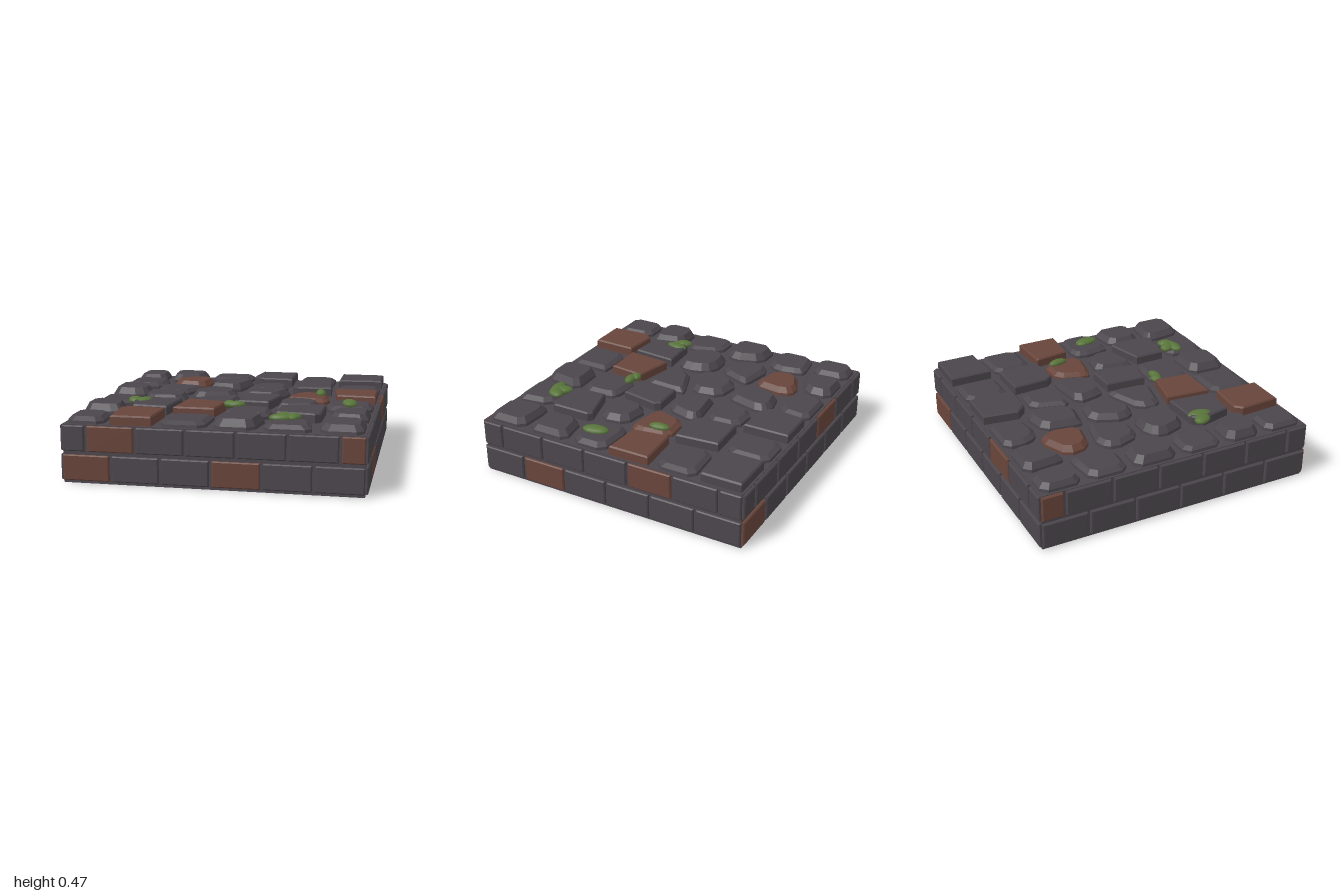
import * as THREE from 'three';

const stone = new THREE.MeshStandardMaterial({ color: 0x4b464c });
stone.name = 'darkStone';
const clay = new THREE.MeshStandardMaterial({ color: 0x68453b });
clay.name = 'brownClay';
const moss = new THREE.MeshStandardMaterial({ color: 0x58743a });
moss.name = 'mossGreen';

const CORE = 0.98, TOP = 0.39, EDGE = 0.965, HALF_GAP = 0.024;

// Paving stone centres (x, z), six per row from back to front
const ROWS = [
  [-0.86, -0.83, -0.59, -0.85, -0.22, -0.86, 0.15, -0.81, 0.46, -0.81, 0.78, -0.81],
  [-0.82, -0.51, -0.47, -0.57, -0.16, -0.52, 0.13, -0.44, 0.47, -0.46, 0.8, -0.49],
  [-0.84, -0.15, -0.53, -0.26, -0.22, -0.13, 0.16, -0.2, 0.49, -0.1, 0.82, -0.15],
  [-0.85, 0.2, -0.53, 0.09, -0.12, 0.13, 0.17, 0.15, 0.44, 0.2, 0.8, 0.15],
  [-0.85, 0.51, -0.51, 0.43, -0.19, 0.46, 0.15, 0.5, 0.52, 0.49, 0.85, 0.49],
  [-0.86, 0.81, -0.54, 0.79, -0.19, 0.8, 0.16, 0.81, 0.47, 0.85, 0.83, 0.8],
];
const SLABS = [3, 5, 10, 17, 21, 25, 26, 28, 31]; // thin bevel, sharp corners
const CLAY_STONES = [7, 16, 17, 26, 31];

// Clay bricks per wall: front, right, back, left
const WALLS = [
  { name: 'frontWall', lower: [0, 3], upper: [1, 6] },
  { name: 'rightEndWall', lower: [1], upper: [4] },
  { name: 'backWall', lower: [0], upper: [4] },
  { name: 'leftEndWall', lower: [], upper: [0] },
];

// Moss lobes: x, z, half width, half length, turn
const MOSS = [
  [-0.675, 0.35, 0.05, 0.07, 0.5], [-0.605, 0.37, 0.05, 0.09, -0.15],
  [0.0, 0.37, 0.045, 0.04, 0], [0.05, 0.385, 0.065, 0.035, 0.1],
  [0.805, 0.19, 0.052, 0.095, 0.2],
  [0.43, 0.71, 0.05, 0.07, 0.6], [0.49, 0.73, 0.05, 0.065, -0.5], [0.42, 0.76, 0.085, 0.045, 0.1],
  [0.565, -0.16, 0.035, 0.075, 0.15],
];

// Faceted solid through counter-clockwise rings, stacked along +z, capped at the end
function loft(rings) {
  const pos = [];
  const n = rings[0].length;
  const tri = (...pts) => pts.forEach((p) => pos.push(...p));
  for (let r = 0; r + 1 < rings.length; r++) {
    for (let i = 0; i < n; i++) {
      const j = (i + 1) % n;
      const a = rings[r], b = rings[r + 1];
      tri(a[i], a[j], b[j]);
      tri(a[i], b[j], b[i]);
    }
  }
  const cap = rings[rings.length - 1];
  for (let i = 1; i + 1 < n; i++) tri(cap[0], cap[i], cap[i + 1]);
  const g = new THREE.BufferGeometry();
  g.setAttribute('position', new THREE.Float32BufferAttribute(pos, 3));
  g.computeVertexNormals();
  return g;
}

function addMesh(parent, name, geometry, material) {
  const m = new THREE.Mesh(geometry, material);
  m.name = name;
  parent.add(m);
  return m;
}

// Keep the part of a convex polygon where p . n <= d
function clip(poly, nx, ny, d) {
  const out = [];
  poly.forEach((p, i) => {
    const q = poly[(i + 1) % poly.length];
    const a = p[0] * nx + p[1] * ny - d, b = q[0] * nx + q[1] * ny - d;
    if (a <= 0) out.push(p);
    if (a * b < 0) {
      const t = a / (a - b);
      out.push([p[0] + (q[0] - p[0]) * t, p[1] + (q[1] - p[1]) * t]);
    }
  });
  return out;
}

const mix = (p, q, t) => [p[0] + (q[0] - p[0]) * t, p[1] + (q[1] - p[1]) * t];

// Cut every corner of a polygon
function chamfer(poly) {
  return poly.flatMap((p, i) => {
    const n = poly.length, prev = poly[(i + n - 1) % n], next = poly[(i + 1) % n];
    const cut = (q) => Math.min(0.3, 0.045 / Math.max(Math.hypot(q[0] - p[0], q[1] - p[1]), 0.001));
    return [mix(p, prev, cut(prev)), mix(p, next, cut(next))];
  });
}

// Irregular paving: each stone fills the area nearest its centre, less a joint
function buildPaving() {
  const group = new THREE.Group();
  group.name = 'paving';
  const seeds = [];
  ROWS.forEach((r) => { for (let i = 0; i < r.length; i += 2) seeds.push([r[i], -r[i + 1]]); });
  seeds.forEach((s, k) => {
    let poly = [[-EDGE, -EDGE], [EDGE, -EDGE], [EDGE, EDGE], [-EDGE, EDGE]];
    seeds.forEach((o) => {
      if (o === s) return;
      const len = Math.hypot(o[0] - s[0], o[1] - s[1]);
      const nx = (o[0] - s[0]) / len, ny = (o[1] - s[1]) / len;
      const mid = mix(s, o, 0.5);
      poly = clip(poly, nx, ny, mid[0] * nx + mid[1] * ny - HALF_GAP);
    });
    const slab = SLABS.includes(k);
    if (!slab) poly = chamfer(poly);
    const top = slab ? 0.455 : 0.445 + 0.015 * Math.sin(k * 2.7);
    const ring = (z, t) => poly.map((p) => [...mix(p, s, t), z]);
    const geo = loft([
      ring(TOP - 0.01, 0),
      ring(slab ? top - 0.01 : TOP + 0.02, slab ? 0 : 0.02),
      ring(top, slab ? 0.06 : 0.23),
    ]);
    geo.rotateX(-Math.PI / 2);
    addMesh(group, 'pavingStone', geo, CLAY_STONES.includes(k) ? clay : stone);
  });
  return group;
}

// One brick standing out of a wall that faces +z
function brickGeometry(x0, x1, y0, y1) {
  const ring = (e, z) => [[x0 + e, y0 + e, z], [x1 - e, y0 + e, z], [x1 - e, y1 - e, z], [x0 + e, y1 - e, z]];
  return loft([ring(0, CORE - 0.01), ring(0, 0.993), ring(0.007, 1)]);
}

// Two staggered courses per wall
function buildWall({ name, lower, upper }) {
  const group = new THREE.Group();
  group.name = name;
  const pitch = (2 * CORE + 0.02) / 6;
  const course = (count, shift, y0, y1, clays) => {
    for (let i = 0; i < count; i++) {
      const start = -CORE + (i - shift) * pitch;
      const x0 = Math.max(-CORE, start), x1 = Math.min(CORE, start + pitch - 0.02);
      addMesh(group, 'brick', brickGeometry(x0, x1, y0, y1), clays.includes(i) ? clay : stone);
    }
  };
  course(6, 0, 0.02, 0.19, lower);
  course(7, 0.5, 0.215, 0.385, upper);
  return group;
}

export function createModel() {
  const model = new THREE.Group();
  model.name = 'stoneFloorTile';

  // Mortar core
  addMesh(model, 'core', new THREE.BoxGeometry(2 * CORE, TOP, 2 * CORE), stone).position.y = TOP / 2;

  // Brick walls, turned around the core
  WALLS.forEach((w, i) => {
    const wall = buildWall(w);
    wall.rotation.y = i * Math.PI / 2;
    model.add(wall);
  });

  model.add(buildPaving());

  // Moss tufts
  MOSS.forEach(([x, z, w, l, turn]) => {
    const lobe = addMesh(model, 'mossLobe', new THREE.IcosahedronGeometry(1, 1), moss);
    lobe.scale.set(w, 0.027, l);
    lobe.rotation.y = turn;
    lobe.position.set(x, 0.442, z);
  });
  return model;
}
